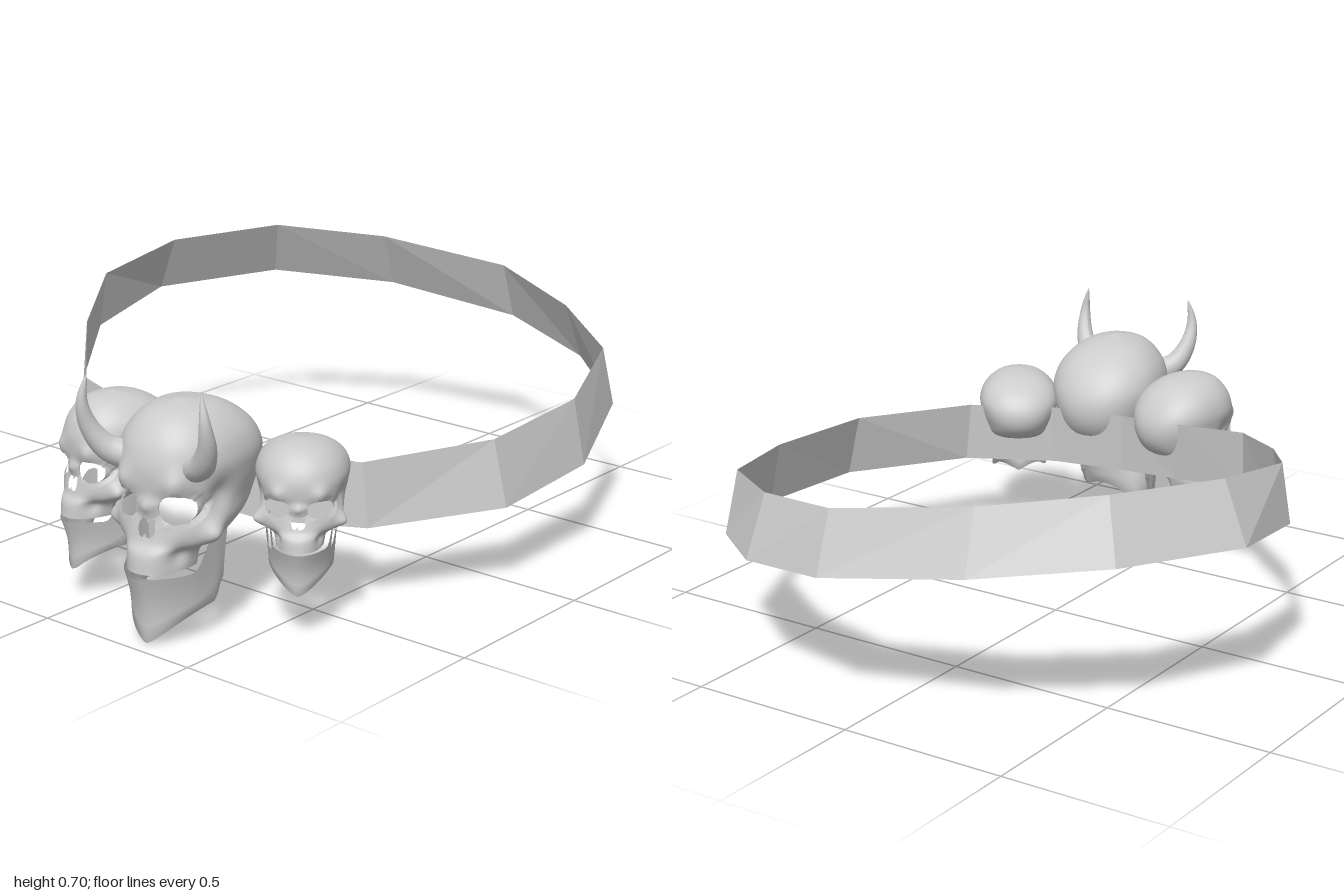
import * as THREE from 'three';
import { mergeVertices } from 'three/addons/utils/BufferGeometryUtils.js';

const smooth = new THREE.MeshStandardMaterial({ color: 0xcccccc });
const thin = new THREE.MeshStandardMaterial({ color: 0xcccccc, side: THREE.DoubleSide });
const faceted = new THREE.MeshStandardMaterial({ color: 0xcccccc, side: THREE.DoubleSide, flatShading: true });

// Surface from a rule point(i, j); keep(centroid) may cut holes in it
function grid(nu, nv, point, keep = () => true) {
  const pts = [], index = [], c = new THREE.Vector3();
  for (let j = 0; j <= nv; j++) for (let i = 0; i <= nu; i++) pts.push(point(i, j));
  const face = (...t) => {
    c.set(0, 0, 0);
    t.forEach(k => c.addScaledVector(pts[k], 1 / 3));
    if (keep(c)) index.push(...t);
  };
  for (let j = 0; j < nv; j++) for (let i = 0; i < nu; i++) {
    const a = j * (nu + 1) + i, b = a + 1, d = a + nu + 1, e = d + 1;
    face(a, b, e);
    face(a, e, d);
  }
  let g = new THREE.BufferGeometry().setFromPoints(pts);
  g.setIndex(index);
  g = mergeVertices(g, 1e-5);
  g.computeVertexNormals();
  return g;
}

function part(geometry, material, name) {
  const m = new THREE.Mesh(geometry, material);
  m.name = name;
  return m;
}

// Skull sections from the upper teeth to the crown: y, half width, front z, back z, widest z
const SECTIONS = [
  [0.203, 0.085, 0.232, 0.06, 0.10], [0.25, 0.095, 0.225, 0.03, 0.10],
  [0.28, 0.13, 0.205, -0.08, 0.07], [0.32, 0.148, 0.195, -0.17, 0.04],
  [0.37, 0.152, 0.185, -0.215, 0.01], [0.43, 0.163, 0.195, -0.23, -0.02],
  [0.49, 0.168, 0.193, -0.215, -0.03], [0.55, 0.145, 0.168, -0.17, -0.02],
  [0.60, 0.088, 0.115, -0.09, 0], [0.622, 0, 0.02, 0.02, 0.02],
];
const profile = new THREE.CubicInterpolant(SECTIONS.map((_, i) => i), SECTIONS.flat(), 5);

// Soft swellings and hollows, mirrored: centre, radius, push
const BUMPS = [
  [[0.075, 0.438, 0.17], 0.032, [0.004, 0, 0.018]],   // brow
  [[0.13, 0.30, 0.09], 0.032, [0.03, 0, 0.022]],      // cheekbone
  [[0.155, 0.395, 0.07], 0.04, [-0.018, 0, -0.005]],  // temple
  [[0.0, 0.375, 0.185], 0.022, [0, 0, 0.02]],         // nose bridge
  [[0.085, 0.25, 0.17], 0.03, [-0.012, 0, -0.012]],   // hollow under the cheek
];

// Eye and nose openings as ellipses: x, y, rx, ry
const HOLES = [[0.075, 0.372, 0.044, 0.04], [-0.075, 0.372, 0.044, 0.04],
  [0.012, 0.318, 0.013, 0.026], [-0.012, 0.318, 0.013, 0.026]];
const holeDistance = (p, [x, y, rx, ry]) => p.z > 0.02 ? Math.hypot((p.x - x) / rx, (p.y - y) / ry) : 9;

function craniumGeometry() {
  const nu = 96, nv = 60;
  const soft = v => Math.sign(v) * Math.abs(v) ** 0.9;
  return grid(nu, nv, (i, j) => {
    const [y, w, f, b, c] = profile.evaluate(j / nv * (SECTIONS.length - 1));
    const a = (i % nu) / nu * Math.PI * 2, cos = soft(Math.cos(a));
    const p = new THREE.Vector3(w * soft(Math.sin(a)), y, c + (cos > 0 ? f - c : c - b) * cos);
    const side = Math.sign(p.x);
    for (const [q, r, push] of BUMPS) {
      const d2 = (Math.abs(p.x) - q[0]) ** 2 + (p.y - q[1]) ** 2 + (p.z - q[2]) ** 2;
      const k = Math.exp(-d2 / (r * r));
      p.x += side * push[0] * k;
      p.z += push[2] * k;
    }
    // pull nearby points onto the rim of each opening
    for (const h of HOLES) {
      const d = holeDistance(p, h);
      if (d > 0.8 && d < 1.25) {
        p.x = h[0] + (p.x - h[0]) / d;
        p.y = h[1] + (p.y - h[1]) / d;
      }
    }
    return p;
  }, c => HOLES.every(h => holeDistance(c, h) > 0.98));
}

// U-shaped jaw: a wall with an outer and an inner skin, rising into a ramus at each end
function jawGeometry() {
  const nu = 40, nv = 9;
  return grid(nu, nv, (i, j) => {
    const a = (i / nu * 2 - 1) * 1.75, s = Math.abs(Math.sin(a)), back = Math.abs(a) / 1.75;
    const top = 0.188 + 0.11 * THREE.MathUtils.smoothstep(back, 0.62, 0.92);
    const bottom = 0.003 + 0.09 * s ** 1.3 + 0.06 * THREE.MathUtils.smoothstep(back, 0.85, 1);
    const inner = j > 4, t = inner ? (9 - j) / 4 : j / 4;  // 0 top edge, 1 bottom edge
    const thick = inner ? 0.014 : 0;
    const w = 0.132 - 0.012 * t - 0.025 * (1 - back) - thick;
    const front = 0.236 - 0.03 * t - 0.012 * Math.sin(Math.PI * t) - thick;
    return new THREE.Vector3(w * Math.sin(a), top + (bottom - top) * t, 0.045 + (front - 0.045) * Math.cos(a));
  });
}

// Curved horn: a tube drawn in to a point
function hornGeometry(side) {
  const path = new THREE.CatmullRomCurve3([[0.09, 0.475, 0.12], [0.145, 0.5, 0.155],
    [0.178, 0.56, 0.185], [0.185, 0.63, 0.205], [0.172, 0.705, 0.2]]
    .map(([x, y, z]) => new THREE.Vector3(side * x, y, z)));
  const n = 24, sides = 14, g = new THREE.TubeGeometry(path, n, 0.042, sides);
  const pos = g.attributes.position, v = new THREE.Vector3();
  for (let k = 0; k < pos.count; k++) {
    const t = Math.floor(k / (sides + 1)) / n;
    v.fromBufferAttribute(pos, k).lerp(path.getPointAt(t), 1 - (1 - t) ** 0.75);
    pos.setXYZ(k, v.x, v.y, v.z);
  }
  g.computeVertexNormals();
  return g;
}

// Belt stations: bottom edge x, y, z then top edge x, y, z
const BELT = [
  [0.08, 0.415, -1.0, 0.08, 0.59, -0.94], [0.40, 0.365, -0.905, 0.39, 0.54, -0.83],
  [0.66, 0.32, -0.69, 0.65, 0.50, -0.64], [0.82, 0.27, -0.30, 0.78, 0.455, -0.30],
  [0.825, 0.25, 0.08, 0.78, 0.435, 0.08], [0.62, 0.24, 0.42, 0.60, 0.42, 0.42],
  [0.37, 0.24, 0.55, 0.37, 0.42, 0.54], [0.13, 0.25, 0.57, 0.13, 0.43, 0.56],
  [-0.07, 0.265, 0.555, -0.07, 0.445, 0.54], [-0.34, 0.305, 0.50, -0.34, 0.48, 0.49],
  [-0.59, 0.37, 0.25, -0.58, 0.545, 0.24], [-0.78, 0.44, -0.02, -0.75, 0.61, -0.02],
  [-0.83, 0.485, -0.35, -0.75, 0.655, -0.33], [-0.65, 0.50, -0.70, -0.59, 0.67, -0.64],
  [-0.33, 0.47, -0.91, -0.31, 0.64, -0.835],
];

export function createModel() {
  const model = new THREE.Group();
  model.name = 'skullBelt';

  const n = BELT.length;
  model.add(part(grid(n, 1, (i, j) =>
    new THREE.Vector3().fromArray(BELT[(n - i) % n], j * 3)), faceted, 'beltBand'));

  const cranium = craniumGeometry(), jaw = jawGeometry();
  const addSkull = (name, position, yaw, scale) => {
    const skull = new THREE.Group();
    skull.name = name;
    skull.add(part(cranium, smooth, 'cranium'), part(jaw, thin, 'jaw'));
    skull.position.set(...position);
    skull.rotation.y = yaw;
    skull.scale.set(...scale);
    model.add(skull);
    return skull;
  };
  addSkull('rightSkull', [-0.025, 0.08, 0.69], -0.2, [0.775, 0.775, 0.775]);
  addSkull('leftSkull', [0.52, 0.125, 0.57], 0.62, [0.73, 0.63, 0.73]);
  const middle = addSkull('middleSkull', [0.28, 0, 0.75], 0.17, [1, 1, 1]);
  middle.add(part(hornGeometry(1), smooth, 'leftHorn'), part(hornGeometry(-1), smooth, 'rightHorn'));
  return model;
}
